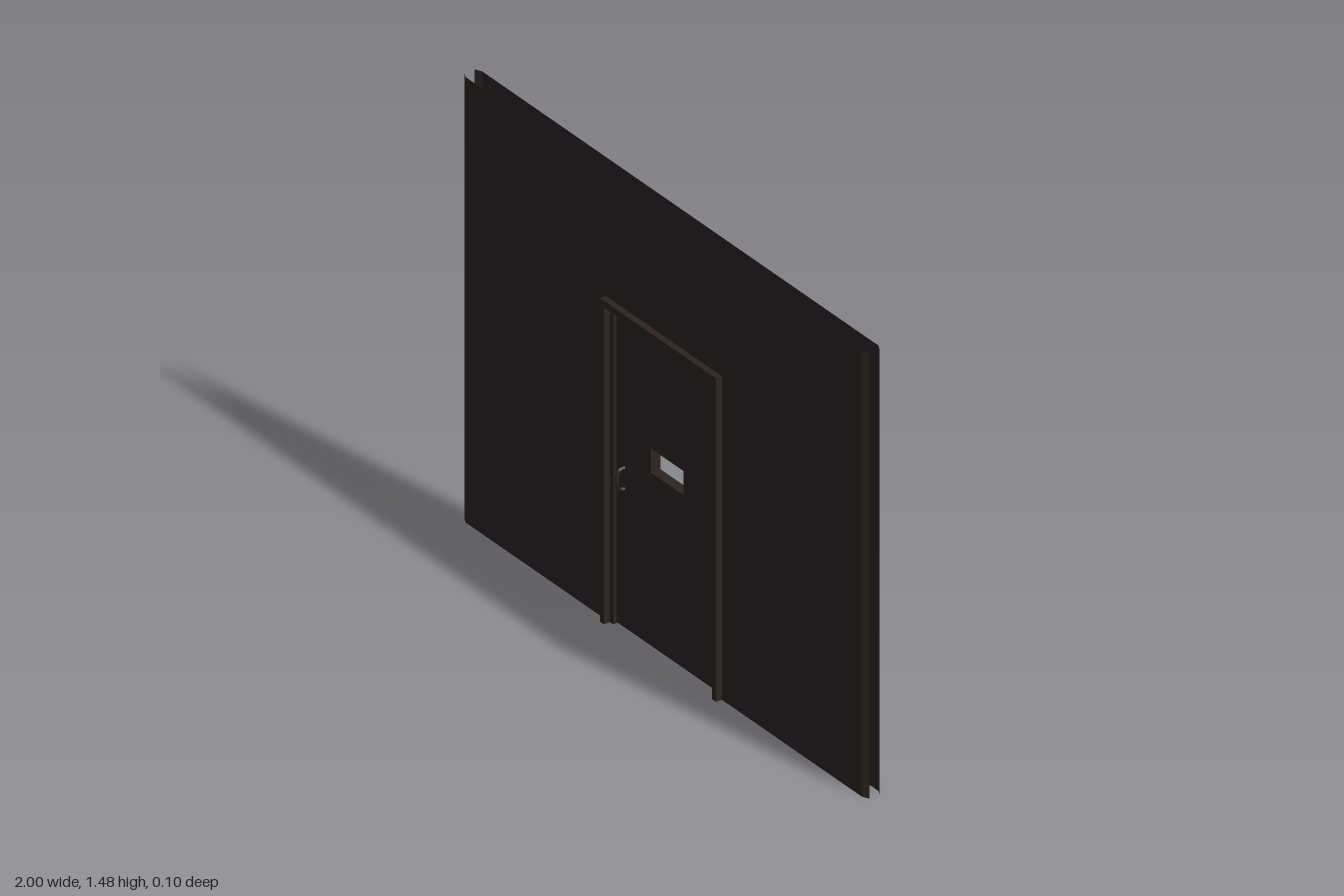
import * as THREE from 'three';

const HEIGHT = 1.48, FACE_Z = 0.029, LIP_Z = 0.018, FLAT_X = 0.98;

export function createModel() {
  const model = new THREE.Group();
  model.name = 'wallWithDoor';
  const darkBrown = new THREE.MeshStandardMaterial({ color: 0x2c2322, side: THREE.DoubleSide });
  darkBrown.name = 'dark brown';

  const add = (parent, name, geometry) => {
    const mesh = new THREE.Mesh(geometry, darkBrown);
    mesh.name = name;
    parent.add(mesh);
    return mesh;
  };

  // Arch-shaped outline with straight sides, open at the floor
  const archShape = (outX, outY, inX, inY) => new THREE.Shape([
    [-outX, 0], [-inX, 0], [-inX, inY], [inX, inY],
    [inX, 0], [outX, 0], [outX, outY], [-outX, outY],
  ].map(([x, y]) => new THREE.Vector2(x, y)));

  const extrudeCentred = (shape, depth) =>
    new THREE.ExtrudeGeometry(shape, { depth, bevelEnabled: false }).translate(0, 0, -depth / 2);

  // Thin wall skin with its two slanted end lips
  const wallSkin = (name, turn) => {
    const skin = new THREE.Group();
    skin.name = name;
    add(skin, 'wallFace', new THREE.ShapeGeometry(archShape(FLAT_X, HEIGHT, 0.275, 1.06)).translate(0, 0, FACE_Z));
    for (const side of [-1, 1]) {
      const lip = new THREE.PlaneGeometry(1 - FLAT_X, HEIGHT);
      lip.translate(side * (1 + FLAT_X) / 2, HEIGHT / 2, 0);
      const p = lip.attributes.position;
      for (let i = 0; i < p.count; i++) p.setZ(i, Math.abs(p.getX(i)) > 0.99 ? LIP_Z : FACE_Z);
      lip.computeVertexNormals();
      add(skin, 'wallEndLip', lip);
    }
    skin.rotation.y = turn;
    model.add(skin);
  };
  wallSkin('frontWall', 0);
  wallSkin('backWall', Math.PI);

  // Door frame: deep outer casing and a shallower inner stop
  add(model, 'doorCasing', extrudeCentred(archShape(0.287, 1.075, 0.267, 1.053), 0.1));
  add(model, 'doorStop', extrudeCentred(archShape(0.267, 1.053, 0.251, 1.037), 0.056));

  // Door leaf with an open window
  const leaf = new THREE.Shape([
    new THREE.Vector2(-0.25, 0.005), new THREE.Vector2(0.25, 0.005),
    new THREE.Vector2(0.25, 1.036), new THREE.Vector2(-0.25, 1.036),
  ]);
  leaf.holes.push(new THREE.Path([
    new THREE.Vector2(-0.08, 0.58), new THREE.Vector2(-0.08, 0.66),
    new THREE.Vector2(0.08, 0.66), new THREE.Vector2(0.08, 0.58),
  ]));
  add(model, 'door', extrudeCentred(leaf, 0.034));

  // Pull handles on both faces
  for (const side of [-1, 1]) {
    const path = new THREE.CatmullRomCurve3([
      [0.465, 0.015], [0.468, 0.034], [0.482, 0.041],
      [0.518, 0.041], [0.532, 0.034], [0.535, 0.015],
    ].map(([y, z]) => new THREE.Vector3(-0.212, y, side * z)));
    add(model, side > 0 ? 'frontHandle' : 'backHandle', new THREE.TubeGeometry(path, 24, 0.006, 8));
  }
  return model;
}
